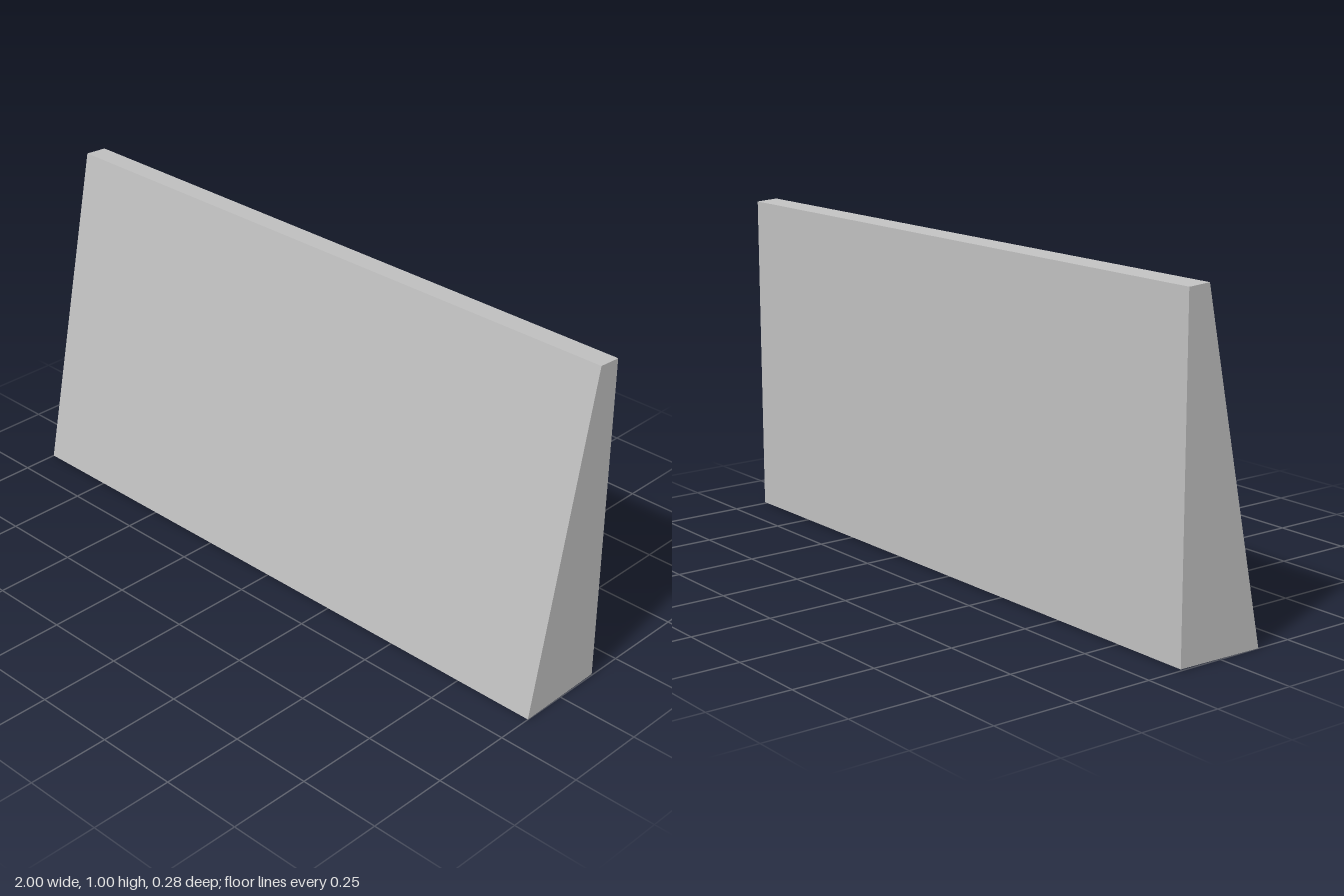
import * as THREE from 'three';

export function createModel() {
  const model = new THREE.Group();
  const grey = new THREE.MeshStandardMaterial({ color: 0xc0c0c0, side: THREE.DoubleSide });
  grey.name = 'plain grey';

  const add = (name, geometry) => {
    const mesh = new THREE.Mesh(geometry, grey);
    mesh.name = name;
    model.add(mesh);
    return mesh;
  };

  // Side profile corners as [z, y]
  const bottomFront = [0.14, 0];
  const topFront = [-0.07, 1.004];
  const topBack = [-0.14, 1.0];
  const backThickness = 0.01;
  const innerBack = topBack[0] + backThickness;

  // Thin sheet spanning the full width between two profile points
  const sheet = (name, [z0, y0], [z1, y1]) => {
    const g = new THREE.BufferGeometry();
    g.setAttribute('position', new THREE.Float32BufferAttribute(
      [-1, y0, z0, 1, y0, z0, 1, y1, z1, -1, y1, z1], 3));
    g.setIndex([0, 1, 2, 0, 2, 3]);
    g.computeVertexNormals();
    add(name, g);
  };
  sheet('slopedFrontPanel', bottomFront, topFront);
  sheet('topPanel', topFront, topBack);

  // Upright back board
  add('backPanel', new THREE.BoxGeometry(2, 0.996, backThickness))
    .position.set(0, 0.502, topBack[0] + backThickness / 2);

  // End walls and inner ribs divide the hollow, open-bottomed body into six cells
  const profile = new THREE.Shape([
    bottomFront, topFront, [innerBack, 1.0], [innerBack, 0.004],
  ].map(([z, y]) => new THREE.Vector2(z, y)));
  const ribGeometry = new THREE.ShapeGeometry(profile).rotateY(-Math.PI / 2);
  const cells = 6;
  for (let i = 0; i <= cells; i++) {
    const isEnd = i === 0 || i === cells;
    const rib = add(isEnd ? 'endWall' : 'innerRib', ribGeometry);
    rib.position.x = -1 + (2 * i) / cells;
    if (i === cells) rib.scale.x = -1; // mirror so the wall faces outward
  }

  return model;
}
